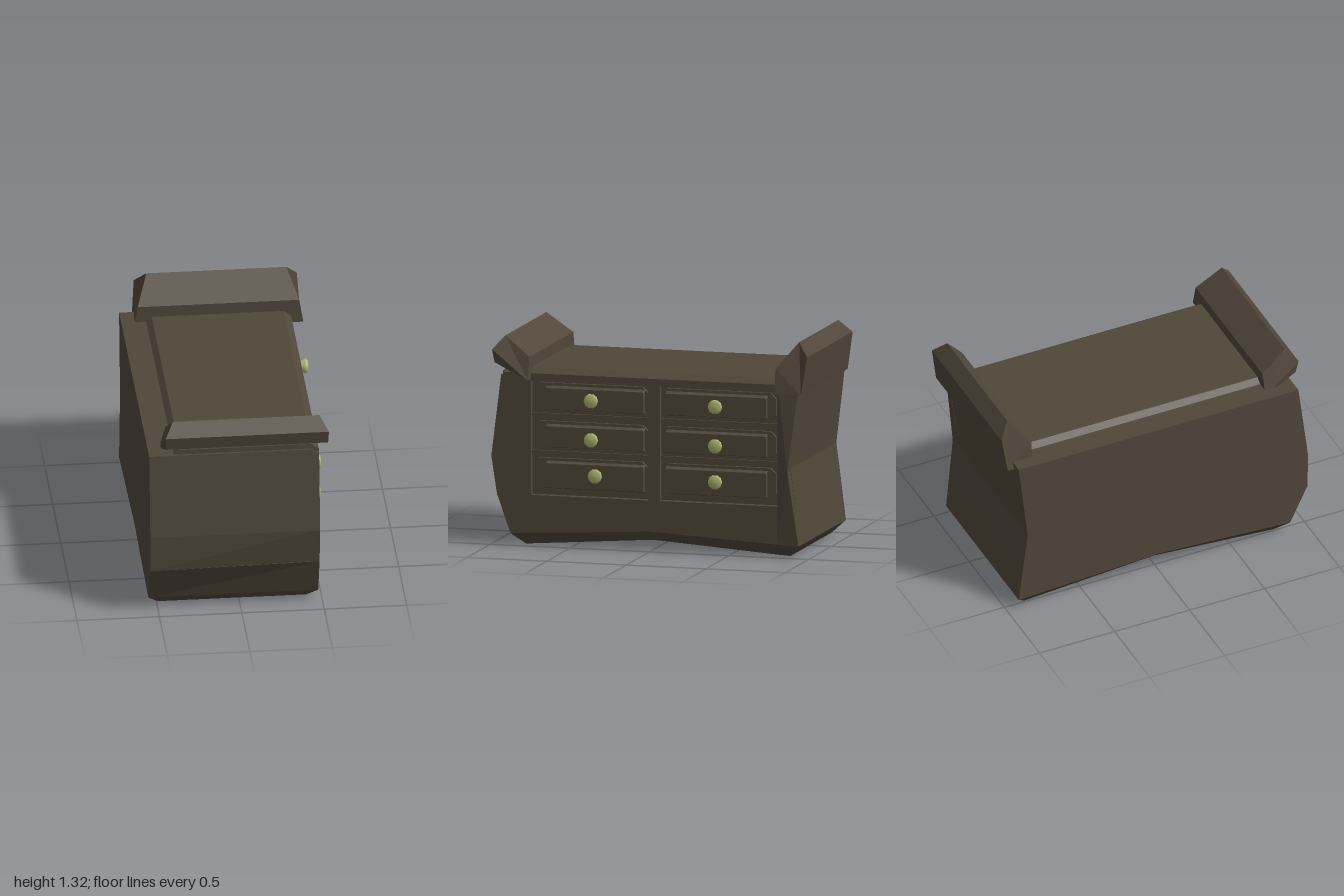
import * as THREE from 'three';

// Joins rings of [x, y, z] points (counter-clockwise seen from the last ring) into a closed faceted solid
function loft(rings) {
  const n = rings[0].length;
  const pos = [];
  const tri = (...pts) => pts.forEach((p) => pos.push(...p));
  for (let r = 0; r < rings.length - 1; r++) {
    const a = rings[r], b = rings[r + 1];
    for (let i = 0; i < n; i++) {
      const j = (i + 1) % n;
      tri(a[i], a[j], b[j]);
      tri(a[i], b[j], b[i]);
    }
  }
  const first = rings[0], last = rings[rings.length - 1];
  for (let i = 1; i < n - 1; i++) {
    tri(first[0], first[i + 1], first[i]);
    tri(last[0], last[i], last[i + 1]);
  }
  const g = new THREE.BufferGeometry();
  g.setAttribute('position', new THREE.Float32BufferAttribute(pos, 3));
  g.computeVertexNormals();
  return g;
}

// Ring of [z, y] points placed at one x
const atX = (pts, x) => pts.map(([z, y]) => [x, y, z]);

// Rectangle with cut corners, counter-clockwise seen from +x
function cutRect(z0, z1, y0, y1, c) {
  return [
    [z1, y0 + c], [z1 - c, y0], [z0 + c, y0], [z0, y0 + c],
    [z0, y1 - c], [z0 + c, y1], [z1 - c, y1], [z1, y1 - c],
  ];
}

export function createModel() {
  const model = new THREE.Group();
  model.name = 'dresser';
  const wood = new THREE.MeshStandardMaterial({ color: 0x51473a });
  wood.name = 'dark wood';
  const brass = new THREE.MeshStandardMaterial({ color: 0xb4ba72 });
  brass.name = 'pale brass';

  const add = (name, geometry, material = wood, parent = model) => {
    const mesh = new THREE.Mesh(geometry, material);
    mesh.name = name;
    parent.add(mesh);
    return mesh;
  };
  const box = (name, x0, x1, y0, y1, z0, z1) =>
    add(name, new THREE.BoxGeometry(x1 - x0, y1 - y0, z1 - z0))
      .position.set((x0 + x1) / 2, (y0 + y1) / 2, (z0 + z1) / 2);

  // Carcass: arched chamfered base, ledge under the drawers, crooked ends
  const level = (y, midY, xBack, xFront, zMin, zMax, zMaxFront = zMax) => [
    [xFront, midY, 0], [xFront, y, zMin], [xBack, y, zMin],
    [xBack, midY, 0], [xBack, y, zMax], [xFront, y, zMaxFront],
  ];
  add('carcass', loft([
    level(0, 0.06, -0.49, 0.41, -0.86, 0.8),
    level(0.07, 0.12, -0.555, 0.475, -0.93, 0.88),
    level(0.31, 0.31, -0.555, 0.475, -0.9, 0.995, 0.965),
    level(0.312, 0.312, -0.555, 0.44, -0.9, 0.995, 0.965),
    level(0.54, 0.54, -0.555, 0.44, -0.87, 1.0),
    level(1.06, 1.06, -0.555, 0.44, -0.93, 0.935),
  ]));

  // Corner posts beside the drawers; the rear one bows outwards
  const rearPost = [[-0.87, 0.53], [-0.93, 1.04], [-0.8, 1.04], [-0.8, 0.09], [-0.93, 0.07]];
  const rearFace = atX(rearPost, 0.477);
  rearFace[0][0] = 0.51;
  add('rearPost', loft([atX(rearPost, 0.43), rearFace]));
  const frontPost = [[1.0, 0.54], [0.965, 0.31], [0.75, 0.31], [0.75, 1.04], [0.938, 1.04]];
  add('frontPost', loft([atX(frontPost, 0.43), atX(frontPost, 0.475)]));

  // Drawer dividers
  box('centreDivider', 0.43, 0.474, 0.31, 1.02, -0.06, 0.015);
  for (const y of [0.57, 0.8]) box('drawerRail', 0.43, 0.455, y - 0.012, y + 0.012, -0.8, 0.75);

  // Top board with bevelled long edges
  const board = (z) => [
    [0.475, 1.01], [0.475, 1.055], [0.43, 1.09], [-0.37, 1.09], [-0.41, 1.055], [-0.41, 1.01],
  ].map(([x, y]) => [x, y, z]);
  add('topBoard', loft([board(-0.9), board(0.92)]));

  // Flared end caps: each profile point is [z, y, half length]
  const cap = (name, profile) => {
    const ring = (s) => profile.map(([z, y, half]) => [0.035 + s * half, y, z]);
    add(name, loft([ring(-1), ring(1)]));
  };
  cap('rearCap', [
    [-0.965, 1.01, 0.51], [-1.0, 1.24, 0.495], [-0.93, 1.32, 0.425],
    [-0.8, 1.16, 0.49], [-0.8, 1.01, 0.515],
  ]);
  cap('frontCap', [
    [0.75, 1.02, 0.515], [0.75, 1.16, 0.475], [0.91, 1.28, 0.445],
    [0.98, 1.2, 0.495], [0.965, 1.12, 0.49],
  ]);

  // Knob: flared, pointing along +x
  const knobGeometry = new THREE.LatheGeometry([
    [0, 0], [0.03, 0], [0.03, 0.012], [0.043, 0.042], [0.045, 0.052], [0.035, 0.064], [0, 0.066],
  ].map(([r, h]) => new THREE.Vector2(r, h)), 10);
  knobGeometry.rotateZ(-Math.PI / 2);

  // Six drawers: cut-corner backing, raised front and knob
  const rows = [
    { y0: 0.345, y1: 0.54, knobY: 0.45, frontZ: 0.335 },
    { y0: 0.595, y1: 0.765, knobY: 0.67, frontZ: 0.36 },
    { y0: 0.825, y1: 1.0, knobY: 0.91, frontZ: 0.36 },
  ];
  for (const { y0, y1, knobY, frontZ } of rows) {
    for (const [z0, z1, p0, p1, knobZ] of [
      [0.02, 0.74, 0.035, 0.66, frontZ],
      [-0.785, -0.065, -0.735, -0.09, -0.42],
    ]) {
      const drawer = new THREE.Group();
      drawer.name = 'drawer';
      model.add(drawer);
      const backing = cutRect(z0, z1, y0, y1, 0.035);
      add('drawerBacking', loft([atX(backing, 0.43), atX(backing, 0.462)]), wood, drawer);
      const base = cutRect(p0, p1, y0 + 0.008, y1 - 0.012, 0.002);
      const face = cutRect(p0 + 0.008, p1 - 0.008, y0 + 0.016, y1 - 0.03, 0.002);
      add('drawerFront', loft([atX(base, 0.455), atX(face, 0.483)]), wood, drawer);
      add('knob', knobGeometry, brass, drawer).position.set(0.476, knobY, knobZ);
    }
  }
  return model;
}
